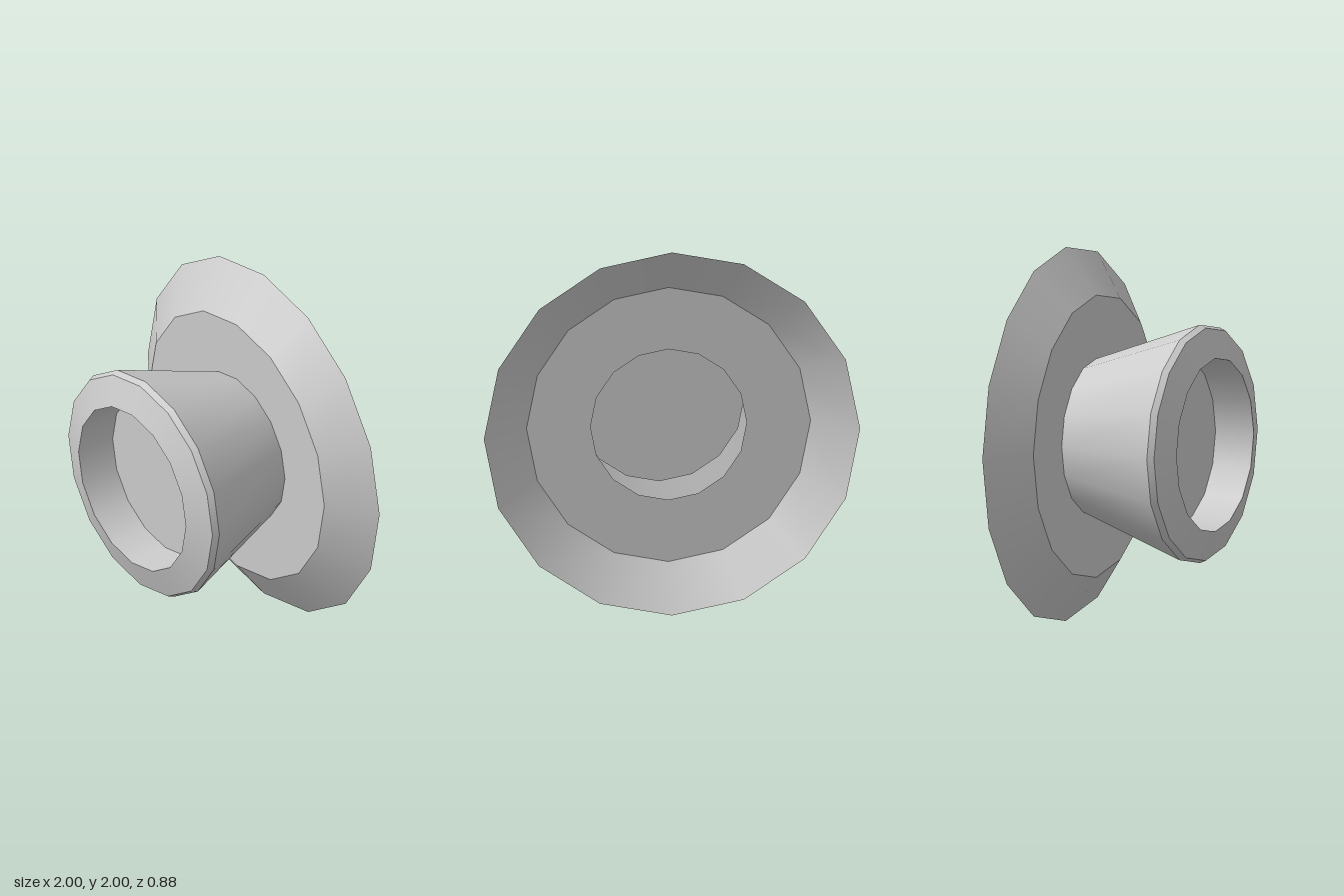
import * as THREE from 'three';

const SIDES = 16;

// Thin sheet parts as [name, [radius, z] points], running from back rim to cup floor.
// Each is a separate band, so the edges between them stay sharp.
const BANDS = [
  ['flaredRim', [1, -0.44], [0.755, -0.26]],
  ['basePlate', [0.755, -0.26], [0.415, -0.26]],
  ['taperedBody', [0.415, -0.26], [0.637, 0.35]],
  ['bodyBevel', [0.637, 0.35], [0.622, 0.385]],
  ['frontLip', [0.622, 0.385], [0.463, 0.44]],
  ['recessWall', [0.463, 0.44], [0.453, 0.22]],
  ['recessFloor', [0.453, 0.22], [0, 0.22]],
];

export function createModel() {
  const model = new THREE.Group();
  model.name = 'flaredKnob';
  const material = new THREE.MeshStandardMaterial({ color: 0xcccccc, side: THREE.DoubleSide });

  for (const [name, ...profile] of BANDS) {
    const points = profile.map(([r, z]) => new THREE.Vector2(r, z));
    // Turn the lathe axis from y to z and lift it to stand on the ground
    const geometry = new THREE.LatheGeometry(points, SIDES).rotateX(Math.PI / 2).translate(0, 1, 0);
    const mesh = new THREE.Mesh(geometry, material);
    mesh.name = name;
    model.add(mesh);
  }
  return model;
}
